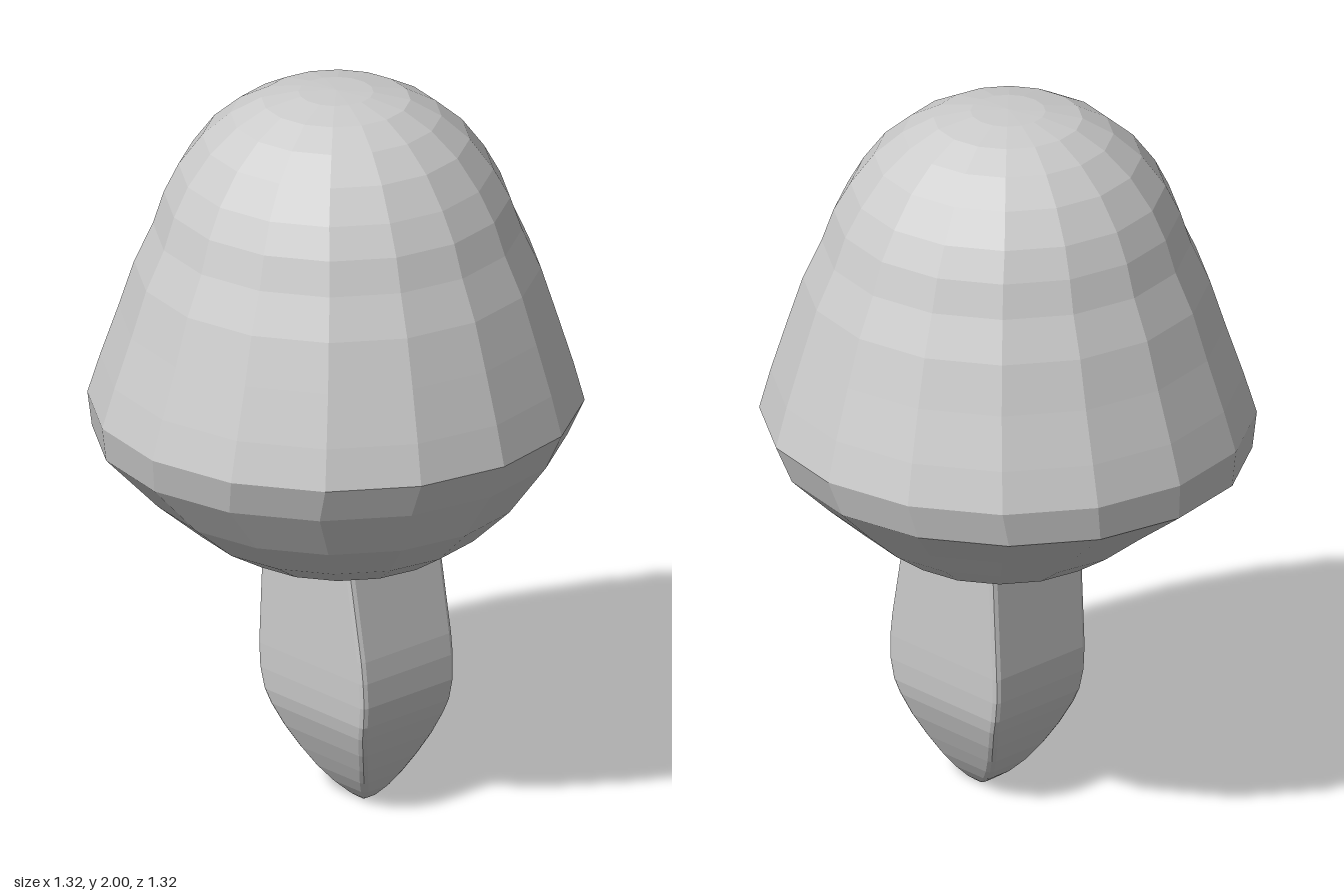
import * as THREE from 'three';

// Skin a stack of rings (bottom to top, each running anticlockwise from above).
function loft(rings, material, name) {
  const n = rings[0].length;
  const pos = [];
  const tri = (a, b, c) => {
    if (a.distanceTo(b) < 1e-6 || b.distanceTo(c) < 1e-6 || c.distanceTo(a) < 1e-6) return;
    for (const p of [a, b, c]) pos.push(p.x, p.y, p.z);
  };
  for (let i = 0; i < rings.length - 1; i++) {
    for (let j = 0; j < n; j++) {
      const k = (j + 1) % n;
      const lo = rings[i], hi = rings[i + 1];
      tri(lo[j], lo[k], hi[k]);
      tri(lo[j], hi[k], hi[j]);
    }
  }
  const geometry = new THREE.BufferGeometry();
  geometry.setAttribute('position', new THREE.Float32BufferAttribute(pos, 3));
  geometry.computeVertexNormals();
  const mesh = new THREE.Mesh(geometry, material);
  mesh.name = name;
  return mesh;
}

// Sixteen-sided ring around (cx, cz).
function roundRing([y, r, cx = 0, cz = 0]) {
  return Array.from({ length: 16 }, (_, i) => {
    const a = (i / 16) * Math.PI * 2;
    return new THREE.Vector3(cx + r * Math.sin(a), y, cz + r * Math.cos(a));
  });
}

// Rectangular ring with narrow bevelled corners.
function bevelRing([y, x0, x1, d]) {
  const cx = (x0 + x1) / 2, w = (x1 - x0) / 2;
  const b = Math.min(0.016, w * 0.3, d * 0.3), m = b * 0.3;
  const corner = [[w - b, d], [w - m, d - m], [w, d - b]];
  const flip = (sx, sz) => corner.map(([x, z]) => [x * sx, z * sz]);
  const outline = [
    ...flip(1, 1), ...flip(1, -1).reverse(),
    ...flip(-1, -1), ...flip(-1, 1).reverse(),
  ];
  return outline.map(([x, z]) => new THREE.Vector3(cx + x, y, z));
}

export function createModel() {
  const group = new THREE.Group();
  group.name = 'mushroom';

  // Cap: faceted open shell whose lower rings drift slightly off centre
  const capRings = [
    // y, radius, centre x, centre z
    [0.725, 0.29, 0.04, 0.015],
    [0.79, 0.39, 0.042, 0.025],
    [0.89, 0.505, 0.03, 0.025],
    [1.02, 0.632, -0.018, 0.005],
    [1.12, 0.66],
    [1.23, 0.628, 0.003],
    [1.37, 0.582, 0.006],
    [1.5, 0.54, 0.006],
    [1.61, 0.49, 0.006],
    [1.7, 0.46, 0.004],
    [1.78, 0.418],
    [1.865, 0.355],
    [1.93, 0.28],
    [1.975, 0.198],
    [1.995, 0.1],
    [2.0, 0],
  ].map(roundRing);
  const capMaterial = new THREE.MeshStandardMaterial({
    color: 0xcccccc, flatShading: true, side: THREE.DoubleSide,
  });
  group.add(loft(capRings, capMaterial, 'cap'));

  // Stem: bevelled square section, tapering to a blunt tip, rising inside the cap
  const stemRings = [
    // y, left edge x, right edge x, half depth
    [0, 0.105, 0.105, 0],
    [0, 0.09, 0.12, 0.01],
    [0.01, 0.072, 0.137, 0.022],
    [0.04, 0.03, 0.165, 0.048],
    [0.08, -0.008, 0.19, 0.074],
    [0.13, -0.042, 0.217, 0.1],
    [0.19, -0.075, 0.245, 0.128],
    [0.25, -0.102, 0.267, 0.15],
    [0.29, -0.117, 0.28, 0.159],
    [0.35, -0.128, 0.289, 0.164],
    [0.42, -0.13, 0.287, 0.166],
    [0.48, -0.127, 0.28, 0.166],
    [0.725, -0.115, 0.235, 0.166],
    [0.92, -0.1, 0.2, 0.16],
    [0.92, 0.05, 0.05, 0],
  ].map(bevelRing);
  const stemMaterial = new THREE.MeshStandardMaterial({ color: 0xcccccc, flatShading: true });
  group.add(loft(stemRings, stemMaterial, 'stem'));

  return group;
}
